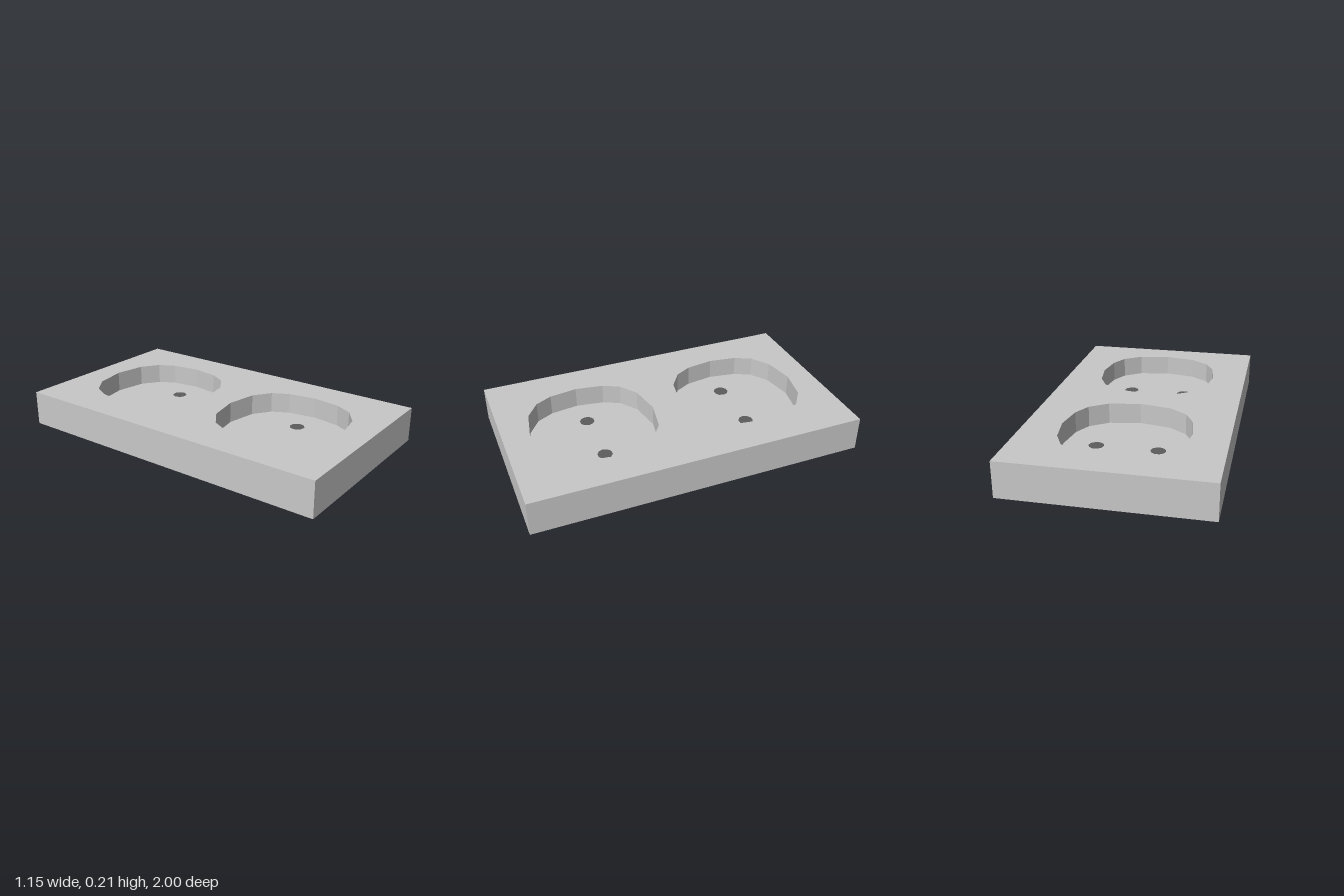
import * as THREE from 'three';

const WIDTH = 1.155, LENGTH = 2, HEIGHT = 0.21, FLOOR = 0.085;
const SOCKET_Z = [-0.467, 0.465];

// One quarter of the rounded recess outline, mirrored into a 16-sided loop
const QUARTER = [[0.37, 0], [0.345, 0.168], [0.293, 0.268], [0.187, 0.343], [0, 0.377]];

function recessOutline(cy) {
  const half = [...QUARTER, ...QUARTER.slice(0, 4).reverse().map(([x, y]) => [-x, y])];
  const loop = [...half, ...half.slice(1, -1).reverse().map(([x, y]) => [x, -y])];
  return loop.map(([x, y]) => new THREE.Vector2(x, y + cy));
}

export function createModel() {
  const group = new THREE.Group();
  const grey = new THREE.MeshStandardMaterial({ color: 0xc8c8c8 });
  grey.name = 'light grey';
  const dark = new THREE.MeshStandardMaterial({ color: 0x5c5c5c });
  dark.name = 'dark grey';

  const add = (name, geometry, material, x, y, z) => {
    const mesh = new THREE.Mesh(geometry, material);
    mesh.name = name;
    mesh.position.set(x, y, z);
    group.add(mesh);
  };

  // Solid lower slab, whose top forms the recess floors
  add('basePlate', new THREE.BoxGeometry(WIDTH, FLOOR, LENGTH), grey, 0, FLOOR / 2, 0);

  // Upper cover pierced by the two recesses
  const w = WIDTH / 2, l = LENGTH / 2;
  const face = new THREE.Shape([[-w, -l], [w, -l], [w, l], [-w, l]].map(p => new THREE.Vector2(...p)));
  for (const z of SOCKET_Z) face.holes.push(new THREE.Path(recessOutline(-z).reverse()));
  const cover = new THREE.ExtrudeGeometry(face, { depth: HEIGHT - FLOOR, bevelEnabled: false });
  cover.rotateX(-Math.PI / 2);
  add('cover', cover, grey, 0, FLOOR, 0);

  // Pairs of contact holes, as thin dark discs on the recess floors
  const disc = new THREE.CircleGeometry(0.045, 10).rotateX(-Math.PI / 2);
  for (const z of [-0.457, 0.455]) {
    for (const side of [-1, 1]) {
      add('contactHole', disc, dark, side * 0.178, FLOOR + 0.002, z);
    }
  }
  return group;
}
